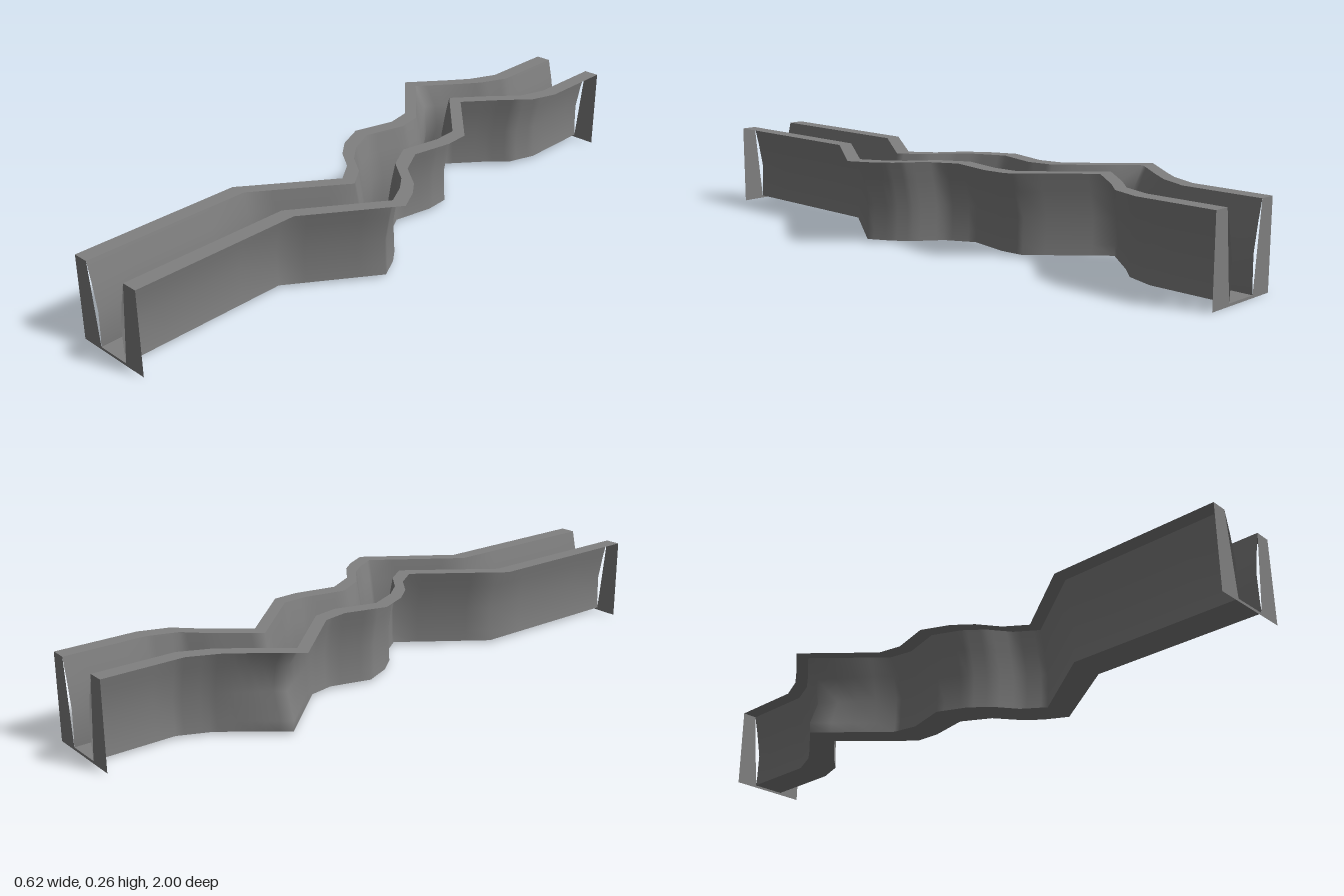
import * as THREE from 'three';

const H = 0.263, FLOOR = 0.008, RIM = 0.05, FOOT = 0.075;

// Plan of the channel: z, left edge x, right edge x of the rim outline
const PLAN = [
  [-1, -0.13, 0.13], [-0.75, -0.13, 0.13], [-0.66, -0.17, 0.1], [-0.6, -0.215, 0.04],
  [-0.48, -0.312, -0.06], [-0.28, -0.13, 0.125], [-0.2, -0.115, 0.13], [-0.07, -0.15, 0.105],
  [0.02, -0.11, 0.155], [0.08, -0.06, 0.235], [0.13, 0.01, 0.275], [0.2, 0.06, 0.312],
  [0.46, -0.13, 0.13], [1, -0.13, 0.13],
];

// Thin side wall: height, inset from the rim outline, extra inset at the sharp left bend
const WALL = [
  [FLOOR, FOOT, 0], [0.04, 0.078, -0.006], [0.12, 0.08, 0.022], [0.2, 0.065, 0.027], [H, RIM, 0],
];

// Subdivided stations along the run
function makeStations(steps) {
  const out = [];
  for (let i = 0; i < PLAN.length - 1; i++) {
    for (let k = 0; k < steps; k++) {
      const t = k / steps;
      const [z, l, r] = PLAN[i].map((v, n) => v + (PLAN[i + 1][n] - v) * t);
      out.push({ z, l, r });
    }
  }
  const [z, l, r] = PLAN[PLAN.length - 1];
  out.push({ z, l, r });
  return out;
}

export function createModel() {
  const group = new THREE.Group();
  const material = new THREE.MeshStandardMaterial({ color: 0x808080, side: THREE.DoubleSide });
  const stations = makeStations(4);

  const add = (name, geometry) => {
    const mesh = new THREE.Mesh(geometry, material);
    mesh.name = name;
    group.add(mesh);
    return mesh;
  };

  // Sweeps a piece of the section (counterclockwise seen from the front) along z
  const strip = (name, section) => {
    const pos = [], index = [];
    const n = section(stations[0]).length;
    stations.forEach((s, i) => {
      section(s).forEach(([x, y]) => pos.push(x, y, s.z));
      if (i === 0) return;
      for (let j = 0; j < n - 1; j++) {
        const a = (i - 1) * n + j, c = i * n + j;
        index.push(a, a + 1, c, a + 1, c + 1, c);
      }
    });
    const g = new THREE.BufferGeometry();
    g.setAttribute('position', new THREE.Float32BufferAttribute(pos, 3));
    g.setIndex(index);
    g.computeVertexNormals();
    add(name, g);
  };

  // Thin walls and floor of the open channel
  const bend = (s) => Math.exp(-(((s.z + 0.48) / 0.1) ** 2));
  strip('rightWall', (s) => WALL.map(([y, inset]) => [s.r - inset, y]).reverse());
  strip('channelFloor', (s) => [[s.r - FOOT, FLOOR], [s.l + FOOT, FLOOR]]);
  strip('leftWall', (s) => WALL.map(([y, inset, extra]) => [s.l + inset + extra * bend(s), y]));

  // Flat rims reaching outward from the wall tops
  strip('rightRim', (s) => [[s.r, H], [s.r - RIM, H]]);
  strip('leftRim', (s) => [[s.l + RIM, H], [s.l, H]]);

  // Flat end plates with the channel cut out
  const { l, r } = stations[0];
  const outline = [
    [l, 0], [r, 0], [r, H], [r - RIM, H], [r - FOOT, FLOOR],
    [l + FOOT, FLOOR], [l + RIM, H], [l, H],
  ].map(([x, y]) => new THREE.Vector2(x, y));
  const plate = new THREE.ShapeGeometry(new THREE.Shape(outline));
  add('frontEnd', plate).position.z = 1;
  const back = add('backEnd', plate);
  back.position.z = -1;
  back.rotation.y = Math.PI;

  return group;
}
